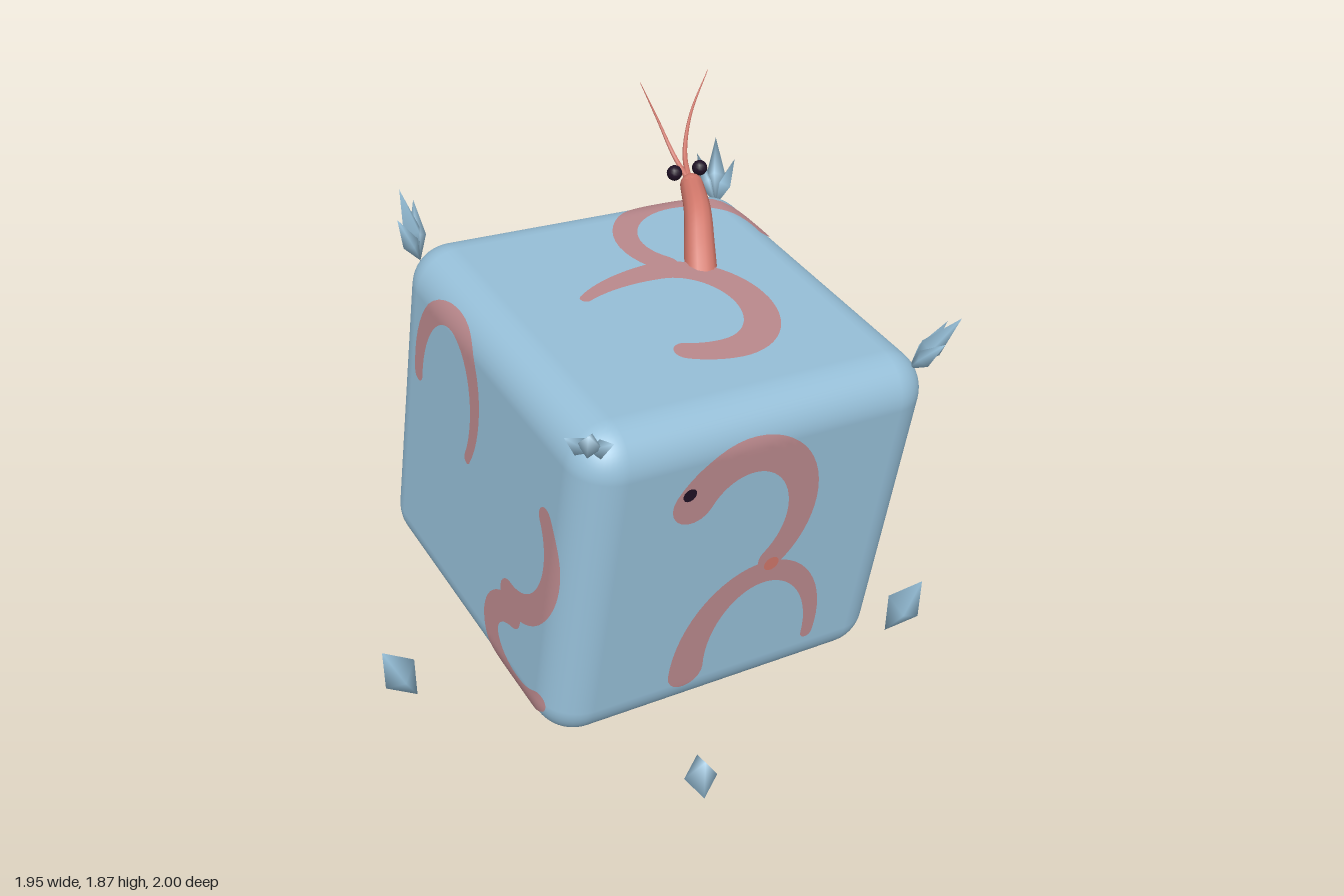
import * as THREE from 'three';
import { RoundedBoxGeometry } from 'three/addons/geometries/RoundedBoxGeometry.js';

const V = (x, y, z) => new THREE.Vector3(x, y, z);
const X = V(1, 0, 0), Y = V(0, 1, 0), Z = V(0, 0, 1);
const HALF = V(0.675, 0.635, 0.675), R = 0.15;
const INNER = HALF.clone().subScalar(R);
const CENTER = V(0.07, 0.785, -0.02);

const paint = (name, color) => {
  const m = new THREE.MeshStandardMaterial({ color });
  m.name = name;
  return m;
};

const add = (parent, name, geometry, material) => {
  const m = new THREE.Mesh(geometry, material);
  m.name = name;
  parent.add(m);
  return m;
};

// Six-pointed crystal with smooth normals; ring runs counter-clockwise seen from the top
function crystal(top, bottom, ring) {
  const g = new THREE.BufferGeometry().setFromPoints([top, bottom, ...ring]);
  const index = [];
  for (let i = 0; i < 4; i++) {
    const a = 2 + i, b = 2 + (i + 1) % 4;
    index.push(0, a, b, 1, b, a);
  }
  g.setIndex(index);
  g.computeVertexNormals();
  return g;
}

// Pointed shard growing from base to tip
function shard(base, tip, r) {
  const axis = tip.clone().sub(base).normalize();
  const u = V(-axis.z, 0.2, axis.x).cross(axis).normalize();
  const t = axis.clone().cross(u);
  const mid = base.clone().lerp(tip, 0.42);
  const ring = [[u, r], [t, r], [u, -r], [t, -r]].map(([d, s]) => mid.clone().addScaledVector(d, s));
  return crystal(tip, base, ring);
}

// Tube whose radius follows a function of the length
function taperedTube(points, radius, segments, sides) {
  const curve = new THREE.CatmullRomCurve3(points);
  const g = new THREE.TubeGeometry(curve, segments, 1, sides);
  const p = g.attributes.position, v = V(0, 0, 0);
  for (let i = 0; i < p.count; i++) {
    const k = Math.floor(i / (sides + 1)) / segments;
    const c = curve.getPointAt(k);
    v.fromBufferAttribute(p, i).sub(c).multiplyScalar(radius(k)).add(c);
    p.setXYZ(i, v.x, v.y, v.z);
  }
  g.computeVertexNormals();
  return g;
}

// Round-ended ribbon along an elliptical arc, laid on the block.
// Arc: centre, radii, start and end in degrees, half widths at start and end, swelling in the middle
function ribbon([U, W, N], [cx, cy, rx, ry, from, to, w0, w1, swell = 0]) {
  const rows = [], steps = 30, caps = 5, across = 6, dir = Math.sign(to - from);
  for (let i = -caps; i <= steps + caps; i++) {
    const k = THREE.MathUtils.clamp(i / steps, 0, 1);
    const a = THREE.MathUtils.degToRad(from + (to - from) * k);
    const t = new THREE.Vector2(-rx * Math.sin(a), ry * Math.cos(a)).normalize().multiplyScalar(dir);
    const cap = (i - k * steps) / caps * Math.PI / 2;
    const w = w0 + (w1 - w0) * k + swell * Math.sin(Math.PI * k);
    const s = w * Math.sin(cap), h = w * Math.cos(cap);
    rows.push([cx + rx * Math.cos(a) + t.x * s, cy + ry * Math.sin(a) + t.y * s, -t.y * h, t.x * h]);
  }
  const pos = [], nor = [], index = [];
  const depth = Math.abs(N.dot(HALF));
  const flip = U.clone().cross(W).dot(N) < 0;
  rows.forEach(([x, y, px, py], i) => {
    for (let j = 0; j <= across; j++) {
      const f = j / across * 2 - 1;
      const p = V(0, 0, 0).addScaledVector(U, x + px * f).addScaledVector(W, y + py * f).addScaledVector(N, depth);
      // follow the rounded edges of the block
      const q = p.clone().clamp(INNER.clone().negate(), INNER);
      const n = p.sub(q).normalize();
      q.addScaledVector(n, R + 0.005);
      pos.push(q.x, q.y, q.z);
      nor.push(n.x, n.y, n.z);
      if (i && j) {
        const d = i * (across + 1) + j, c = d - 1, b = d - across - 1, a = b - 1;
        if (flip) index.push(a, b, c, c, b, d);
        else index.push(a, c, b, c, d, b);
      }
    }
  });
  const g = new THREE.BufferGeometry();
  g.setAttribute('position', new THREE.Float32BufferAttribute(pos, 3));
  g.setAttribute('normal', new THREE.Float32BufferAttribute(nor, 3));
  g.setIndex(index);
  return g;
}

export function createModel() {
  const model = new THREE.Group();
  const ice = paint('ice blue', 0x96bfd8);
  const frozen = paint('frozen pink', 0xbb898d);
  const flesh = paint('worm red', 0xd0776a);
  const dark = paint('eye black', 0x1f1024);

  // Tilted ice block
  const block = new THREE.Group();
  block.name = 'iceBlock';
  const ax = V(0.989, -0.10, -0.11).normalize();
  const ay = V(0.097, -0.065, 0.993).cross(ax).normalize();
  block.setRotationFromMatrix(new THREE.Matrix4().makeBasis(ax, ay, ax.clone().cross(ay)));
  block.position.copy(CENTER);
  model.add(block);
  add(block, 'block', new RoundedBoxGeometry(HALF.x * 2, HALF.y * 2, HALF.z * 2, 6, R), ice);

  // Worms showing through the faces
  const frozenWorm = (name, axes, ...arcs) =>
    arcs.forEach((arc, i) => add(block, `${name}Worm${i + 1}`, ribbon(axes, arc), frozen));
  const spot = (name, [U, W, N], u, v, rx, ry, material) => {
    const m = add(block, name, new THREE.CircleGeometry(1, 14), material);
    m.scale.set(rx, ry, 1);
    m.quaternion.setFromUnitVectors(Z, N);
    m.position.addScaledVector(U, u).addScaledVector(W, v).addScaledVector(N, N.dot(HALF) + 0.009);
  };
  const front = [X, Y, Z], right = [Z, Y, X], top = [X, Z, Y];
  const back = [X, Y, V(0, 0, -1)], left = [Z, Y, V(-1, 0, 0)], bottom = [X, Z, V(0, -1, 0)];

  frozenWorm('front', front,
    [-0.06, 0.20, 0.24, 0.27, 150, -50, 0.08, 0.05],
    [0.08, -0.40, 0.257, 0.335, 185, -5, 0.07, 0.025]);
  spot('frontWormEye', front, -0.294, 0.38, 0.025, 0.025, dark);
  spot('frontWormFold', front, 0.10, -0.03, 0.03, 0.028, flesh);

  frozenWorm('right', right,
    [0.30, -0.22, 0.25, 0.265, 90, 270, 0.03, 0.05, 0.05],
    [-0.165, -0.20, 0.185, 0.185, 0, 185, 0.05, 0.06, 0.015],
    [-0.06, -0.42, 0.14, 0.115, 0, -90, 0.04, 0.02]);
  spot('rightWormEye', right, -0.327, -0.108, 0.025, 0.025, dark);
  spot('rightWormFold', right, 0.08, -0.10, 0.024, 0.07, flesh);

  frozenWorm('top', top,
    [0.335, -0.33, 0.275, 0.235, 10, -215, 0.03, 0.05],
    [0.05, 0.09, 0.225, 0.25, -90, 90, 0.05, 0.055, 0.012],
    [0.05, 0.09, 0.45, 0.25, -135, -90, 0.02, 0.05],
    [0.05, 0.09, 0.30, 0.25, 90, 122, 0.055, 0.045]);

  frozenWorm('back', back,
    [0.32, 0.41, 0.15, 0.17, 100, 300, 0.04, 0.08],
    [0.30, -0.13, 0.31, 0.36, 90, 180, 0.065, 0.05, 0.01],
    [0.09, -0.20, 0.30, 0.34, 60, -185, 0.04, 0.02, 0.02]);
  spot('backWormEye', back, 0.04, -0.03, 0.025, 0.025, dark);

  frozenWorm('left', left,
    [-0.25, 0.25, 0.215, 0.30, 190, -30, 0.03, 0.02, 0.02],
    [0.30, 0.05, 0.24, 0.27, 45, -90, 0.04, 0.06],
    [0.40, -0.40, 0.20, 0.14, 110, 320, 0.06, 0.04]);

  frozenWorm('bottom', bottom,
    [0.08, -0.26, 0.24, 0.14, -20, -190, 0.025, 0.055],
    [-0.38, -0.32, 0.20, 0.17, 30, 180, 0.055, 0.04],
    [0.20, 0.45, 0.30, 0.12, 10, 150, 0.05, 0.025]);

  // Three-shard cluster on each upper corner, the side shards spread around the main one
  const cluster = (name, base, tip) => {
    const spread = V(base.z - CENTER.z, 0, CENTER.x - base.x).setLength(0.075);
    add(model, name, shard(base, tip, 0.038), ice);
    for (const s of [-1, 1])
      add(model, `${name}Side`, shard(base, base.clone().lerp(tip, 0.72).addScaledVector(spread, s), 0.03), ice);
  };
  cluster('frontRightShard', V(-0.41, 1.35, 0.63), V(-0.50, 1.57, 0.83));
  cluster('frontLeftShard', V(0.80, 1.25, 0.51), V(0.93, 1.46, 0.59));
  cluster('backRightShard', V(-0.55, 1.44, -0.53), V(-0.59, 1.70, -0.58));
  cluster('backLeftShard', V(0.66, 1.33, -0.65), V(0.75, 1.51, -0.84));

  // Ring of five floating crystals leaning outward
  [[-0.92, 0.05], [-0.31, -0.95], [0.82, -0.68], [0.92, 0.48], [-0.155, 0.935]].forEach(([x, z], i) => {
    const u = V(x - CENTER.x, 0, z - CENTER.z).normalize();
    const t = Y.clone().cross(u);
    const at = (a, b, y) => V(x, 0.127 + y, z).addScaledVector(u, a).addScaledVector(t, b);
    add(model, `floatingCrystal${i + 1}`, crystal(at(0.058, 0, 0.127), at(-0.058, 0, -0.127),
      [at(0.058, 0, -0.045), at(0, 0.057, 0), at(-0.058, 0, 0.045), at(0, -0.057, 0)]), ice);
  });

  // Worm breaking out of the top
  const worm = new THREE.Group();
  worm.name = 'worm';
  model.add(worm);
  const neck = [V(0.34, 1.34, -0.13), V(0.375, 1.44, -0.22), V(0.415, 1.52, -0.32), V(0.455, 1.555, -0.45)];
  add(worm, 'neck', taperedTube(neck, k => 0.062 - 0.02 * k, 16, 12), flesh);
  add(worm, 'head', new THREE.SphereGeometry(0.042, 14, 10), flesh).position.copy(neck[3]);
  for (const [side, s] of [['right', -1], ['left', 1]]) {
    add(worm, `${side}Eye`, new THREE.SphereGeometry(0.028, 12, 8), dark).position.set(0.45 + s * 0.05, 1.6, -0.48);
    const x = d => 0.455 + s * d + d * 0.33;
    add(worm, `${side}Antenna`, taperedTube(
      [V(x(0), 1.56, -0.47), V(x(0.022), 1.62, -0.57), V(x(0.065), 1.73, -0.645), V(x(0.135), 1.865, -0.7)],
      k => 0.011 * (1 - k) + 0.001, 16, 6), flesh);
  }
  return model;
}
